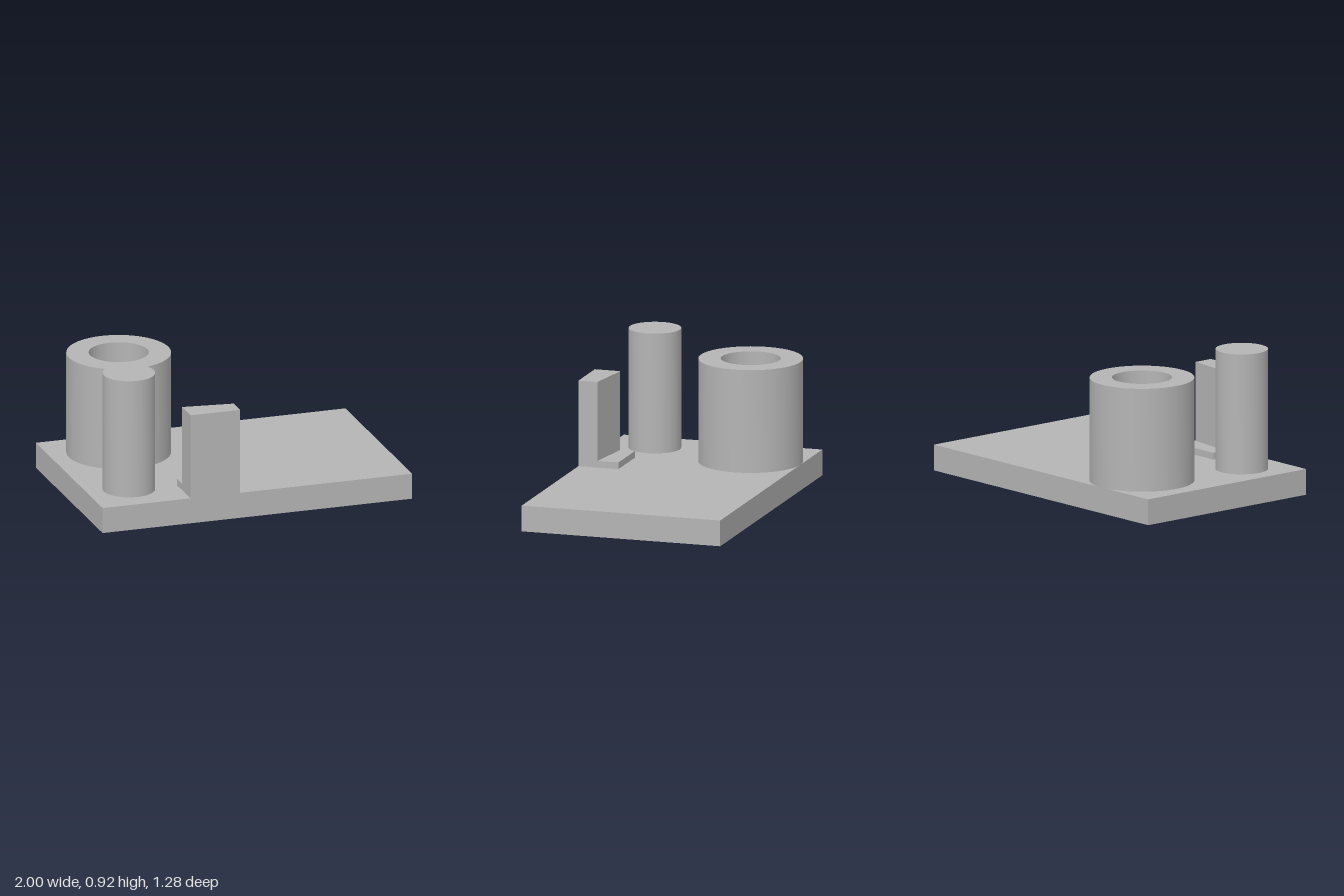
import * as THREE from 'three';
import { toCreasedNormals } from 'three/addons/utils/BufferGeometryUtils.js';

const BASE_TOP = 0.162;
const BORE = { x: -0.573, z: -0.319, r: 0.184 };

// Closed outline from plan coordinates (x, z)
function outline(points) {
  return new THREE.Shape(points.map(([x, z]) => new THREE.Vector2(x, -z)));
}

// Full circle path in plan
function circle(PathType, x, z, r) {
  const path = new PathType();
  path.absarc(x, -z, r, 0, Math.PI * 2, false);
  return path;
}

// Raise a plan outline from y0 to y1
function raise(shape, y0, y1) {
  const geo = new THREE.ExtrudeGeometry(shape, { depth: y1 - y0, bevelEnabled: false, curveSegments: 48 });
  geo.rotateX(-Math.PI / 2);
  geo.translate(0, y0, 0);
  return toCreasedNormals(geo, 0.5);
}

export function createModel() {
  const group = new THREE.Group();
  const grey = new THREE.MeshStandardMaterial({ color: 0xb4b4b4 });
  grey.name = 'plain grey';

  const add = (name, shape, y0, y1) => {
    const mesh = new THREE.Mesh(raise(shape, y0, y1), grey);
    mesh.name = name;
    group.add(mesh);
  };

  // Base plate, bored through under the tube
  const plate = outline([[-1, 0.64], [1, 0.64], [1, -0.64], [-1, -0.64]]);
  plate.holes.push(circle(THREE.Path, BORE.x, BORE.z, BORE.r));
  add('basePlate', plate, 0, BASE_TOP);

  // Thick-walled tube
  const ring = circle(THREE.Shape, BORE.x, BORE.z, 0.321);
  ring.holes.push(circle(THREE.Path, BORE.x, BORE.z, BORE.r));
  add('tube', ring, BASE_TOP, 0.808);

  // Solid post
  add('post', circle(THREE.Shape, -0.733, 0.351, 0.161), BASE_TOP, 0.915);

  // Bracket: low foot and an upright with a slanted back
  add('bracketFoot', outline([[-0.432, 0.64], [-0.111, 0.64], [-0.111, 0.382], [-0.432, 0.382]]), BASE_TOP, 0.204);
  add('bracketUpright', outline([[-0.432, 0.64], [-0.111, 0.64], [-0.111, 0.517], [-0.432, 0.476]]), 0.204, 0.7);

  return group;
}
